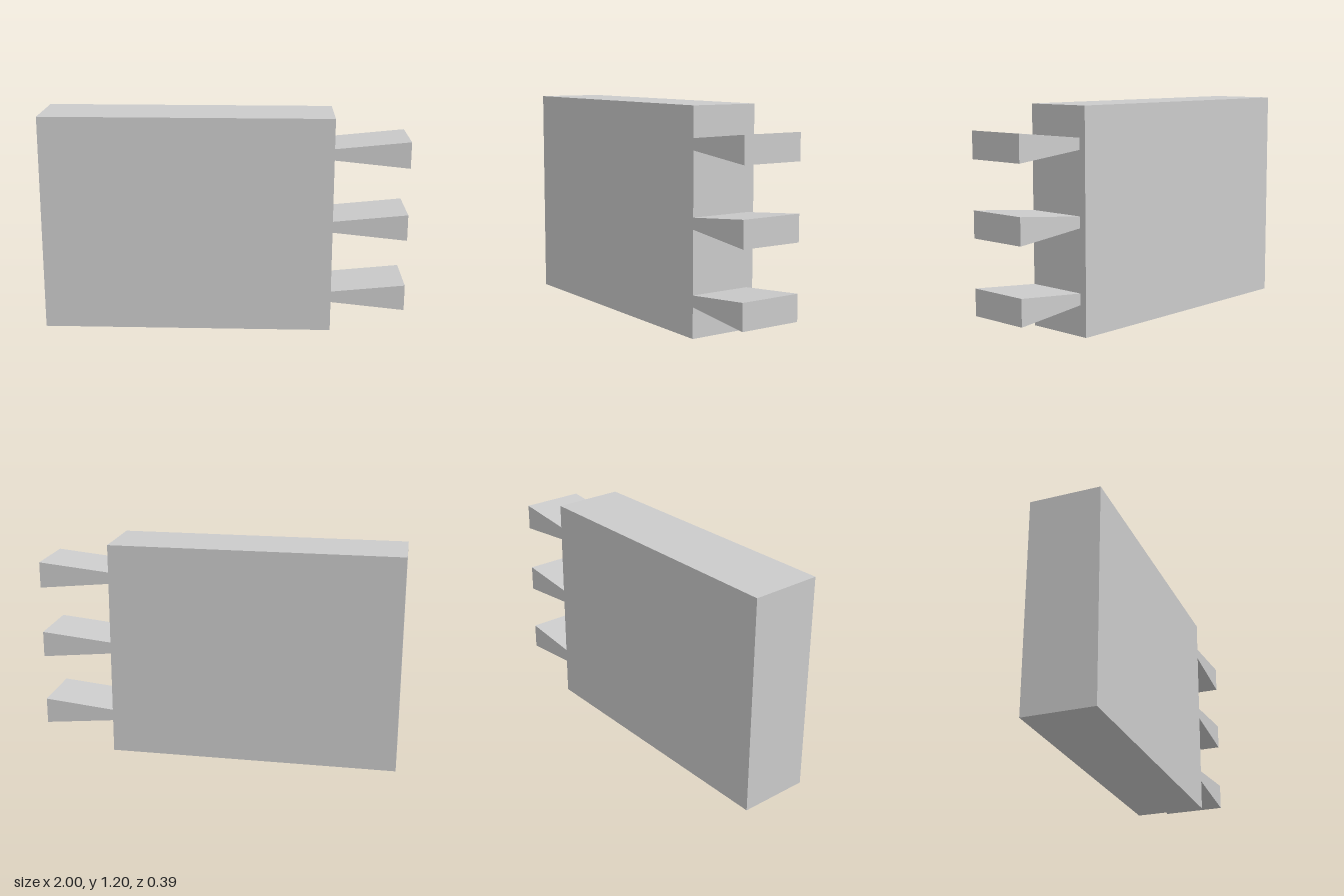
import * as THREE from 'three';

const BODY = { left: -1, right: 0.595, height: 1.197, depth: 0.39 };
const TAIL = { end: 1, root: 0.031, tip: 0.072, depth: 0.35 };

export function createModel() {
  const group = new THREE.Group();
  group.name = 'dovetailBoard';
  const material = new THREE.MeshStandardMaterial({ color: 0xcccccc, flatShading: true });

  // Main board
  const width = BODY.right - BODY.left;
  const board = new THREE.Mesh(new THREE.BoxGeometry(width, BODY.height, BODY.depth), material);
  board.name = 'board';
  board.position.set((BODY.left + BODY.right) / 2, BODY.height / 2, 0);
  group.add(board);

  // Flared tails, flush with the front face and set in from the back
  const outline = new THREE.Shape([
    new THREE.Vector2(BODY.right, -TAIL.root),
    new THREE.Vector2(TAIL.end, -TAIL.tip),
    new THREE.Vector2(TAIL.end, TAIL.tip),
    new THREE.Vector2(BODY.right, TAIL.root),
  ]);
  const tailGeometry = new THREE.ExtrudeGeometry(outline, { depth: TAIL.depth, bevelEnabled: false });
  ['lowerTail', 'middleTail', 'upperTail'].forEach((name, i) => {
    const tail = new THREE.Mesh(tailGeometry, material);
    tail.name = name;
    tail.position.set(0, 0.198 + i * 0.4025, BODY.depth / 2 - TAIL.depth);
    group.add(tail);
  });

  return group;
}
